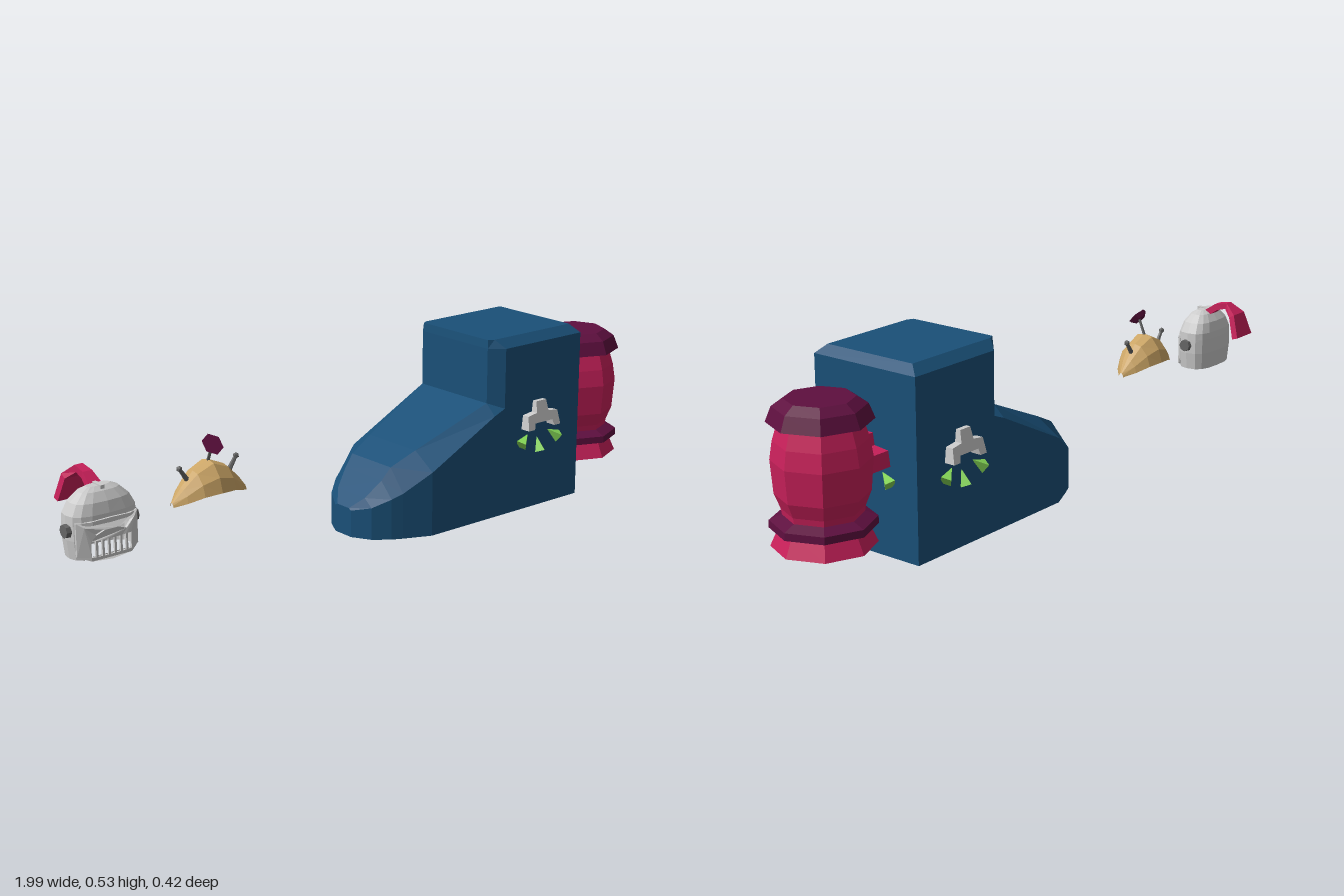
import * as THREE from 'three';

const mat = (color) => new THREE.MeshStandardMaterial({ color, flatShading: true, side: THREE.DoubleSide });
const GREY = mat(0xcccccc), DARK = mat(0x666666), BLUE = mat(0x1a5078), CRIMSON = mat(0xc8205a);
const PURPLE = mat(0x5e0f3f), TAN = mat(0xcba566), GREEN = mat(0x84d656);

function add(parent, name, geometry, material, x = 0, y = 0, z = 0) {
  const mesh = new THREE.Mesh(geometry, material);
  mesh.name = name;
  mesh.position.set(x, y, z);
  parent.add(mesh);
  return mesh;
}

function group(parent, name, x = 0, y = 0, z = 0) {
  const g = new THREE.Group();
  g.name = name;
  g.position.set(x, y, z);
  parent.add(g);
  return g;
}

// Skin a list of cross-sections, counter-clockwise seen from the last one
function loft(rings, { closed = true, capStart = true, capEnd = true } = {}) {
  const out = [], n = rings[0].length;
  const tri = (...pts) => pts.forEach((p) => out.push(...p));
  for (let i = 0; i < rings.length - 1; i++) {
    for (let j = 0; j < (closed ? n : n - 1); j++) {
      const k = (j + 1) % n;
      const a = rings[i][j], b = rings[i][k], c = rings[i + 1][k], d = rings[i + 1][j];
      tri(a, b, c);
      tri(a, c, d);
    }
  }
  const first = rings[0], last = rings[rings.length - 1];
  for (let j = 1; j < n - 1; j++) {
    if (capStart) tri(first[0], first[j + 1], first[j]);
    if (capEnd) tri(last[0], last[j], last[j + 1]);
  }
  const g = new THREE.BufferGeometry();
  g.setAttribute('position', new THREE.Float32BufferAttribute(out, 3));
  g.computeVertexNormals();
  return g;
}

const lathe = (profile) => new THREE.LatheGeometry(profile.map(([r, y]) => new THREE.Vector2(r, y)), 8);
const shapeOf = (pts) => new THREE.Shape(pts.map(([x, y]) => new THREE.Vector2(x, y)));

function buildBoot(parent) {
  const boot = group(parent, 'boot');
  // foot: x, half width, shoulder height, top half width, top height
  const foot = [
    [-0.075, 0.035, 0.08, 0.025, 0.085], [-0.045, 0.09, 0.095, 0.06, 0.118],
    [0, 0.125, 0.12, 0.08, 0.165], [0.03, 0.14, 0.135, 0.085, 0.2],
    [0.11, 0.175, 0.19, 0.1, 0.238], [0.35, 0.175, 0.31, 0.14, 0.342], [0.4, 0.175, 0.33, 0.14, 0.342],
  ].map(([x, w, s, tw, t]) => [[x, 0, -w], [x, s, -w], [x, t, -tw], [x, t, tw], [x, s, w], [x, 0, w]]);
  add(boot, 'foot', loft(foot), BLUE);
  // ankle with bevelled rim
  const plan = (y, x0, x1, x2, w0, w) =>
    [[x0, y, -w0], [x0, y, w0], [x1, y, w], [x2, y, w], [x2, y, -w], [x1, y, -w]];
  add(boot, 'ankle', loft([
    plan(0, 0.35, 0.39, 0.697, 0.14, 0.175),
    plan(0.505, 0.35, 0.39, 0.697, 0.14, 0.175),
    plan(0.53, 0.352, 0.37, 0.675, 0.138, 0.147),
  ]), BLUE);
}

// Clasp with a stem, two short legs and three pointed leaves, facing +z
function buildClasp(parent, name, material, width, depth) {
  const clasp = group(parent, name);
  const shape = shapeOf([[-0.065, 0.25], [-0.04, 0.25], [-0.035, 0.268], [0.035, 0.268], [0.04, 0.25], [0.065, 0.25],
    [0.06, 0.292], [0.024, 0.297], [0.02, 0.33], [-0.02, 0.33], [-0.024, 0.297], [-0.06, 0.292]]);
  const geo = new THREE.ExtrudeGeometry(shape, { depth: 1, bevelEnabled: false });
  const p = geo.attributes.position;
  for (let i = 0; i < p.count; i++) { // lean the face back towards the top
    p.setX(i, p.getX(i) * width);
    p.setZ(i, p.getZ(i) * (depth - (p.getY(i) - 0.25) * 0.22));
  }
  geo.computeVertexNormals();
  add(clasp, 'claspPlate', geo, material);
  for (const [x, y, turn] of [[-0.058, 0.218, -0.9], [0, 0.195, 0], [0.058, 0.218, 0.9]]) {
    const leaf = add(clasp, 'leaf', new THREE.ConeGeometry(0.02, 0.045, 4), GREEN, x * width, y, 0.008);
    leaf.rotation.set(-0.35, 0, turn);
  }
  return clasp;
}

function buildBarrel(parent) {
  const barrel = group(parent, 'barrel', 0.857, 0, 0);
  add(barrel, 'base', lathe([[0, 0.07], [0.137, 0.07], [0.112, 0.125]]), CRIMSON);
  add(barrel, 'lowerBand', lathe([[0.1, 0.12], [0.139, 0.12], [0.138, 0.14], [0.105, 0.154]]), PURPLE);
  add(barrel, 'body', lathe([[0.104, 0.15], [0.107, 0.17], [0.123, 0.21], [0.13, 0.3], [0.122, 0.35], [0.105, 0.405]]), CRIMSON);
  add(barrel, 'cap', lathe([[0.1, 0.4], [0.137, 0.4], [0.121, 0.44], [0.092, 0.46], [0, 0.46]]), PURPLE);
}

function buildHelmet(parent) {
  const helmet = group(parent, 'helmet', -0.885, 0, 0);
  const P = 2.8;
  const ringPoint = (y, a, b, t) => {
    const s = Math.sin(t), c = Math.cos(t);
    return [a * Math.sign(s) * Math.abs(s) ** (2 / P), y, b * Math.sign(c) * Math.abs(c) ** (2 / P)];
  };
  const arc = (y, a, b, t0, t1, n) =>
    Array.from({ length: n }, (_, i) => ringPoint(y, a, b, t0 + (t1 - t0) * i / (n - 1)));
  // crown
  const crown = [[0.24, 0.1, 0.056], [0.265, 0.099, 0.054], [0.295, 0.083, 0.046], [0.318, 0.058, 0.03], [0.328, 0.035, 0.014]]
    .map(([y, a, b]) => arc(y, a, b, 0, Math.PI * 15 / 8, 16));
  add(helmet, 'crown', loft(crown, { capStart: false }), GREY);
  add(helmet, 'crest', new THREE.BoxGeometry(0.012, 0.03, 0.05), GREY, 0, 0.316, 0);
  // sides and back
  const edge = Math.PI * 0.24;
  const guard = [[0.148, 0.094, 0.052], [0.2, 0.1, 0.056], [0.245, 0.1, 0.056]]
    .map(([y, a, b]) => arc(y, a, b, edge, Math.PI * 2 - edge, 13));
  add(helmet, 'neckGuard', loft(guard, { closed: false, capStart: false, capEnd: false }), GREY);
  // visor with eye slits and breathing slots, bent round the face
  const visor = shapeOf([[-0.092, 0.16], [-0.06, 0.147], [0, 0.143], [0.06, 0.147], [0.092, 0.16],
    [0.092, 0.25], [0.06, 0.252], [0, 0.255], [-0.06, 0.252], [-0.092, 0.25]]);
  for (let i = -3; i <= 3; i++) {
    const x = i * 0.018;
    visor.holes.push(new THREE.Path([[x - 0.006, 0.157], [x - 0.006, 0.2], [x + 0.006, 0.2], [x + 0.006, 0.157]]
      .map((q) => new THREE.Vector2(...q))));
  }
  for (const s of [-1, 1]) {
    visor.holes.push(new THREE.Path([[s * 0.02, 0.225], [s * 0.075, 0.238], [s * 0.045, 0.215]]
      .map((q) => new THREE.Vector2(...q))));
  }
  const geo = new THREE.ExtrudeGeometry(visor, { depth: 0.006, bevelEnabled: false });
  const p = geo.attributes.position;
  for (let i = 0; i < p.count; i++) {
    p.setZ(i, p.getZ(i) + 0.056 * (1 - (Math.abs(p.getX(i)) / 0.1) ** P) ** (1 / P));
  }
  geo.computeVertexNormals();
  add(helmet, 'visor', geo, GREY);
  // hinges
  for (const s of [-1, 1]) {
    const hinge = add(helmet, 'hinge', new THREE.CylinderGeometry(0.018, 0.02, 0.014, 8), DARK, s * 0.102, 0.225, 0.005);
    hinge.rotation.z = -s * Math.PI / 2;
  }
  // plume arching over the back: height, z, half width
  const path = [[0.315, -0.012, 0.02], [0.342, -0.05, 0.014], [0.35, -0.085, 0.012], [0.325, -0.118, 0.03], [0.258, -0.14, 0.042]];
  const plume = path.map(([y, z, w], i) => {
    const a = path[Math.max(i - 1, 0)], b = path[Math.min(i + 1, path.length - 1)];
    const len = Math.hypot(b[0] - a[0], b[1] - a[1]);
    const ny = -(b[1] - a[1]) / len * 0.01, nz = (b[0] - a[0]) / len * 0.01;
    return [[-w, y - ny, z - nz], [-w, y + ny, z + nz], [w, y + ny, z + nz], [w, y - ny, z - nz]];
  });
  add(helmet, 'plume', loft(plume), CRIMSON);
}

function buildHat(parent) {
  const hat = group(parent, 'hat', -0.535, 0, -0.008);
  // pointed dome, open below: x, half depth, rim height, top height
  const sections = [[-0.12, 0.008, 0.21, 0.222], [-0.09, 0.035, 0.222, 0.258], [-0.05, 0.057, 0.236, 0.298], [0, 0.066, 0.24, 0.32],
    [0.05, 0.057, 0.236, 0.298], [0.09, 0.035, 0.222, 0.258], [0.12, 0.008, 0.21, 0.222]];
  const arch = [[-1, 0], [-0.82, 0.5], [-0.4, 0.92], [0, 1], [0.4, 0.92], [0.82, 0.5], [1, 0]];
  const rings = sections.map(([x, w, y0, y1]) => arch.map(([u, v]) => [x, y0 + (y1 - y0) * v, u * w]));
  add(hat, 'dome', loft(rings, { closed: false, capStart: false, capEnd: false }), TAN);
  // pins on both sides
  for (const s of [-1, 1]) {
    const pin = group(hat, 'pin', s * 0.066, 0.272, 0);
    pin.rotation.z = -s * 0.6;
    add(pin, 'pinShaft', new THREE.CylinderGeometry(0.005, 0.008, 0.05, 6), DARK, 0, 0.02, 0);
    add(pin, 'pinHead', new THREE.IcosahedronGeometry(0.009, 0), DARK, 0, 0.047, 0);
  }
  // blossom on a stalk
  const stalk = add(hat, 'stalk', new THREE.CylinderGeometry(0.004, 0.005, 0.055, 5), DARK, 0, 0.338, 0.01);
  stalk.rotation.x = 0.4;
  const blossom = add(hat, 'blossom', new THREE.CylinderGeometry(0.032, 0.02, 0.014, 6), PURPLE, -0.005, 0.365, 0.026);
  blossom.rotation.x = 0.85;
}

export function createModel() {
  const model = new THREE.Group();
  model.name = 'costumePieces';
  buildBoot(model);
  for (const s of [1, -1]) {
    const clasp = buildClasp(model, 'sideClasp', GREY, 1, 0.033);
    clasp.position.set(0.525, 0, s * 0.174);
    clasp.rotation.y = s > 0 ? 0 : Math.PI;
  }
  const heelClasp = buildClasp(model, 'heelClasp', CRIMSON, 1.3, 0.075);
  heelClasp.position.x = 0.696;
  heelClasp.rotation.y = Math.PI / 2;
  buildBarrel(model);
  buildHelmet(model);
  buildHat(model);
  return model;
}
